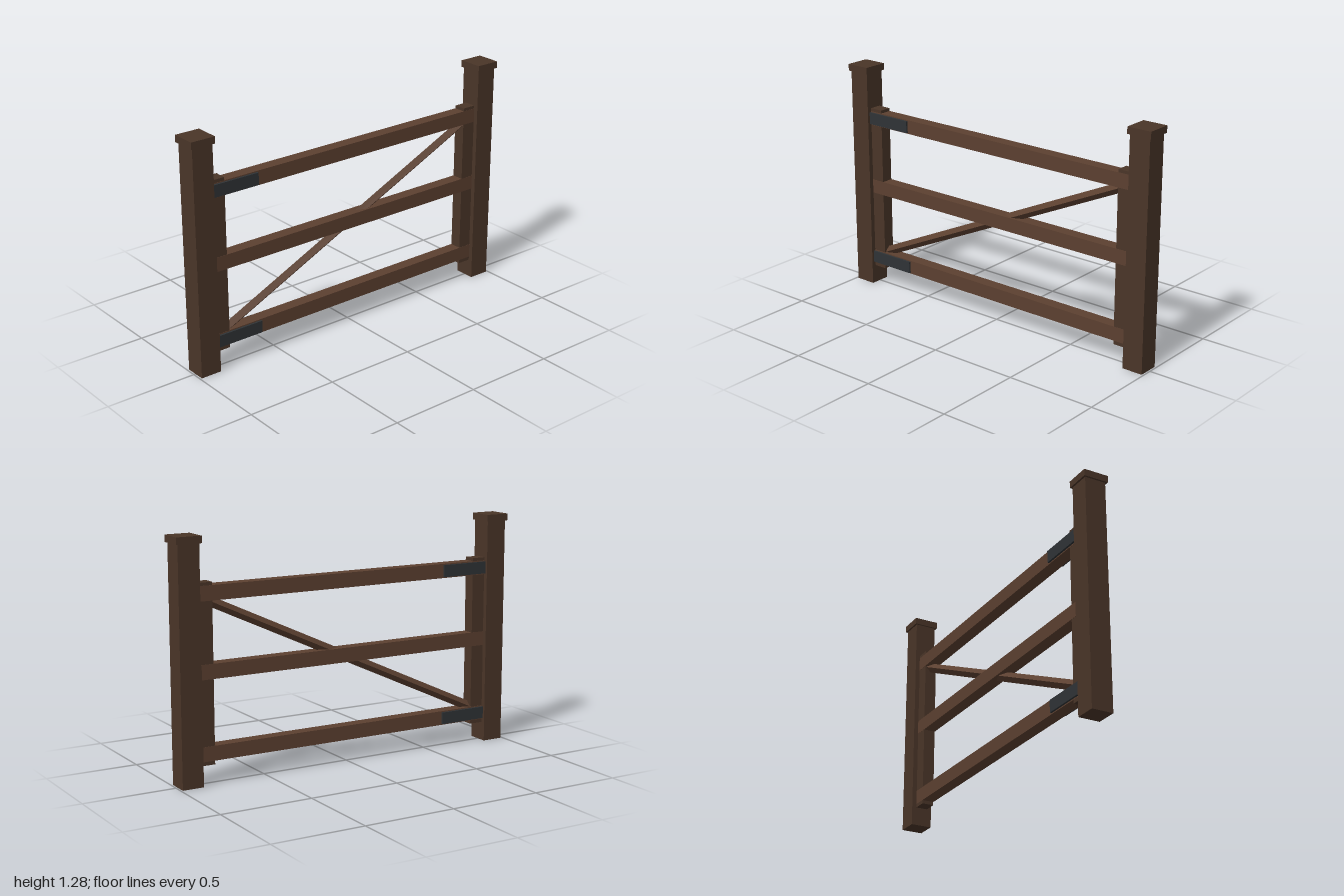
import * as THREE from 'three';

export function createModel() {
  const gate = new THREE.Group();
  gate.name = 'gate';

  const darkWood = new THREE.MeshStandardMaterial({ color: 0x4a3528 });
  const wood = new THREE.MeshStandardMaterial({ color: 0x5c4030 });
  const braceWood = new THREE.MeshStandardMaterial({ color: 0x5c4030, flatShading: true });
  const iron = new THREE.MeshStandardMaterial({ color: 0x2f3336 });

  const box = (name, material, [w, h, d], [x, y, z]) => {
    const mesh = new THREE.Mesh(new THREE.BoxGeometry(w, h, d), material);
    mesh.name = name;
    mesh.position.set(x, y, z);
    gate.add(mesh);
  };

  // Posts with caps, and the upright stiles of the gate leaf
  for (const [side, s] of [['left', 1], ['right', -1]]) {
    box(`${side}Post`, darkWood, [0.117, 1.24, 0.117], [s * 0.931, 0.62, 0]);
    box(`${side}PostCap`, darkWood, [0.137, 0.037, 0.137], [s * 0.9315, 1.2585, 0]);
    box(`${side}Stile`, darkWood, [0.078, 0.937, 0.066], [s * 0.834, 0.571, 0]);
  }

  // Horizontal rails
  const railHeights = { bottom: 0.161, middle: 0.585, top: 0.984 };
  for (const [name, y] of Object.entries(railHeights)) {
    box(`${name}Rail`, wood, [1.746, 0.078, 0.068], [0, y, 0]);
  }

  // Hinge straps on both faces of the top and bottom rails
  for (const name of ['bottom', 'top']) {
    for (const [face, s] of [['Front', 1], ['Back', -1]]) {
      box(`${name}${face}HingeStrap`, iron, [0.276, 0.066, 0.012], [-0.736, railHeights[name], s * 0.039]);
    }
  }

  // Diagonal brace: a square bar turned on its edge
  const from = new THREE.Vector3(-0.81, 0.195, 0);
  const to = new THREE.Vector3(0.81, 0.945, 0);
  const along = to.clone().sub(from);
  const brace = new THREE.Mesh(new THREE.CylinderGeometry(0.026, 0.026, along.length(), 4), braceWood);
  brace.name = 'diagonalBrace';
  brace.position.copy(from).add(to).multiplyScalar(0.5);
  brace.rotation.z = Math.atan2(along.y, along.x) - Math.PI / 2;
  gate.add(brace);

  return gate;
}
